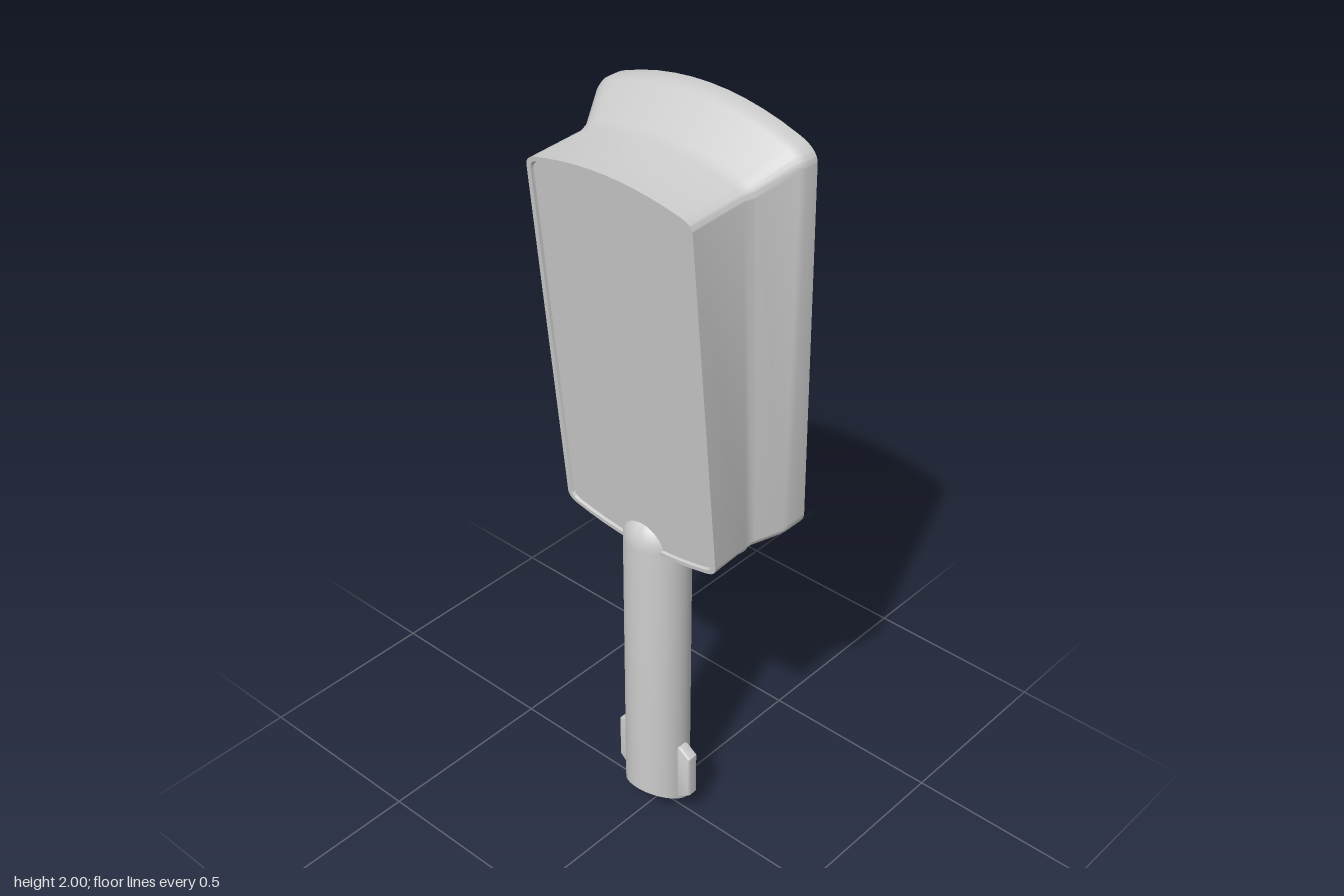
import * as THREE from 'three';
import { toCreasedNormals } from 'three/addons/utils/BufferGeometryUtils.js';

const grey = new THREE.MeshStandardMaterial({ color: 0xcccccc });
const Z0 = 0.015; // handle axis

function mesh(name, geometry, parent) {
  const m = new THREE.Mesh(geometry, grey);
  m.name = name;
  parent.add(m);
  return m;
}

// Rounded outline with bowed top and bottom edges, counter-clockwise
function outline(w, yb, yt, a, r) {
  const s = new THREE.Shape();
  const k = (2 * a * r) / (w - r), i = w - r;
  s.moveTo(w, yb + a + r);
  s.lineTo(w, yt - a - r);
  s.quadraticCurveTo(w, yt - a - k, i, yt - a);
  s.quadraticCurveTo(0, yt + a, -i, yt - a);
  s.quadraticCurveTo(-w, yt - a - k, -w, yt - a - r);
  s.lineTo(-w, yb + a + r);
  s.quadraticCurveTo(-w, yb + a + k, -i, yb + a);
  s.quadraticCurveTo(0, yb - a, i, yb + a);
  s.quadraticCurveTo(w, yb + a + k, w, yb + a + r);
  return s;
}

const slant = (y, zTop, zBottom) => zBottom + ((zTop - zBottom) * (y - 0.88)) / 1.07;

// Skin through sections listed from front to back, closed at both ends
function loft(sections) {
  const pos = [], index = [];
  let n = 0;
  for (const [w, yb, yt, a, r, zt, zb] of sections) {
    const pts = outline(w, yb, yt, a, r).getPoints(10).slice(0, -1);
    n = pts.length;
    for (const p of pts) pos.push(p.x, p.y, slant(p.y, zt, zb));
  }
  const last = sections.length - 1;
  for (let i = 0; i < last; i++) {
    for (let j = 0; j < n; j++) {
      const k = (j + 1) % n;
      const a = i * n + j, b = i * n + k;
      index.push(a, a + n, b, b, a + n, b + n);
    }
  }
  const c = pos.length / 3;
  for (const s of [sections[0], sections[last]]) pos.push(0, 1.4, slant(1.4, s[5], s[6]));
  for (let j = 0; j < n; j++) {
    const k = (j + 1) % n;
    index.push(c, j, k, c + 1, last * n + k, last * n + j);
  }
  const g = new THREE.BufferGeometry();
  g.setAttribute('position', new THREE.Float32BufferAttribute(pos, 3));
  g.setIndex(index);
  return toCreasedNormals(g, 0.5);
}

// Flat plate laid on the tilted back plane
function backPlate(shape, depth, offset) {
  const g = new THREE.ExtrudeGeometry(shape, { depth, bevelEnabled: false, curveSegments: 10 });
  const p = g.attributes.position;
  for (let i = 0; i < p.count; i++) {
    p.setZ(i, p.getZ(i) + offset + slant(p.getY(i), -0.155, -0.175));
  }
  return toCreasedNormals(g, 0.5);
}

function makeHead() {
  const head = new THREE.Group();
  head.name = 'head';

  // Shell: recessed front panel, tapering body, flared rim, recessed back
  mesh('shell', loft([
    [0.226, 0.888, 1.888, 0.025, 0.025, 0.176, 0.066],
    [0.228, 0.886, 1.890, 0.025, 0.025, 0.183, 0.074],
    [0.240, 0.875, 1.901, 0.027, 0.03, 0.183, 0.074],
    [0.240, 0.880, 1.912, 0.030, 0.03, 0.015, -0.035],
    [0.247, 0.882, 1.923, 0.032, 0.035, -0.015, -0.055],
    [0.294, 0.889, 1.991, 0.045, 0.045, -0.105, -0.103],
    [0.300, 0.890, 2.000, 0.045, 0.05, -0.123, -0.118],
    [0.300, 0.890, 2.000, 0.045, 0.05, -0.155, -0.175],
    [0.291, 0.899, 1.991, 0.045, 0.047, -0.155, -0.175],
    [0.290, 0.900, 1.990, 0.045, 0.047, -0.135, -0.155],
  ]), head);

  // Bezel with screen opening and small slot
  const bezel = outline(0.285, 0.905, 1.985, 0.045, 0.045);
  bezel.holes.push(outline(0.238, 0.975, 1.805, 0.006, 0.02), outline(0.04, 1.88, 1.925, 0.001, 0.006));
  mesh('bezel', backPlate(bezel, 0.018, 0.005), head);
  mesh('screen', backPlate(outline(0.232, 0.981, 1.799, 0.006, 0.018), 0.014, 0.009), head);
  mesh('slotInsert', backPlate(outline(0.03, 1.888, 1.912, 0.001, 0.004), 0.012, 0.01), head);

  // Round knobs under the body
  for (const side of [-1, 1]) {
    const profile = [[0, 0], [0.036, 0], [0.043, 0.003], [0.046, 0.01], [0.046, 0.05]];
    const g = new THREE.LatheGeometry(profile.map(([x, y]) => new THREE.Vector2(x, y)), 32);
    mesh(side > 0 ? 'leftKnob' : 'rightKnob', toCreasedNormals(g, 0.6), head)
      .position.set(side * 0.155, 0.872, -0.075);
  }
  return head;
}

function makeHandle() {
  const handle = new THREE.Group();
  handle.name = 'handle';
  handle.position.z = Z0;

  // Hollow tube with domed top and obliquely cut lower end
  const R = 0.085;
  const pts = [[0, 0.8], [0.076, 0.8], [0.076, 0], [R, 0], [R, 0.88]];
  for (let i = 1; i <= 10; i++) {
    const t = (i / 10) * Math.PI / 2;
    pts.push([i === 10 ? 0 : R * Math.cos(t), 0.88 + R * Math.sin(t)]);
  }
  const g = new THREE.LatheGeometry(pts.map(([x, y]) => new THREE.Vector2(x, y)), 48);
  const p = g.attributes.position;
  for (let i = 0; i < p.count; i++) {
    if (p.getY(i) < 0.01) p.setY(i, ((p.getZ(i) + R) / (2 * R)) * 0.09);
  }
  mesh('tube', toCreasedNormals(g, 0.6), handle);

  // Side lugs with a strap hole
  const lug = new THREE.Shape([
    [0.08, 0.06], [0.09, 0.06], [0.123, 0.088], [0.123, 0.215], [0.092, 0.237], [0.08, 0.237],
  ].map(([x, y]) => new THREE.Vector2(x, y)));
  lug.holes.push(new THREE.Path([
    [0.087, 0.168], [0.087, 0.203], [0.107, 0.203], [0.107, 0.168],
  ].map(([x, y]) => new THREE.Vector2(x, y))));
  const lugGeometry = new THREE.ExtrudeGeometry(lug, {
    depth: 0.022, bevelSize: 0.004, bevelOffset: -0.004, bevelThickness: 0.005, bevelSegments: 3,
  });
  lugGeometry.translate(0, 0, -0.011);
  const lugCreased = toCreasedNormals(lugGeometry, 0.6);
  mesh('leftLug', lugCreased, handle);
  mesh('rightLug', lugCreased, handle).rotation.y = Math.PI;
  return handle;
}

export function createModel() {
  const model = new THREE.Group();
  model.name = 'handheldDevice';
  model.add(makeHead(), makeHandle());
  return model;
}
